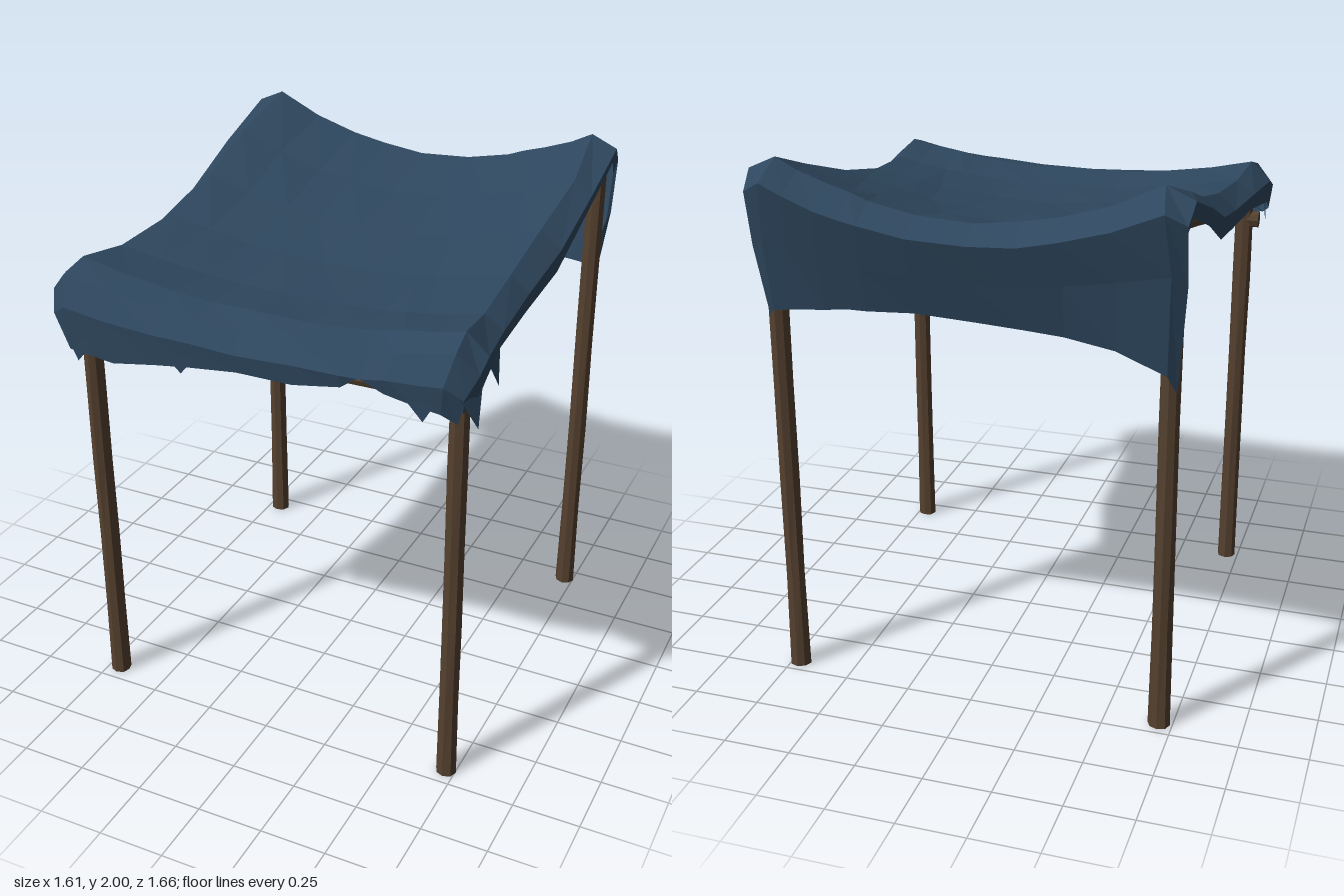
import * as THREE from 'three';

const cloth = new THREE.MeshStandardMaterial({ color: 0x2e475e, flatShading: true, side: THREE.DoubleSide });
cloth.name = 'navy cloth';
const wood = new THREE.MeshStandardMaterial({ color: 0x55412f, flatShading: true });
wood.name = 'dark wood';

// repeatable value in -1..1
const wobble = (n) => {
  const s = Math.sin(n * 12.9898) * 43758.5453;
  return (s - Math.floor(s)) * 2 - 1;
};

// rough timber between two points
function timber(name, from, to, radius, seed, foot = 1) {
  const a = new THREE.Vector3(...from), b = new THREE.Vector3(...to);
  const length = a.distanceTo(b);
  const geo = new THREE.CylinderGeometry(radius, radius, length, 8, 5);
  const p = geo.attributes.position;
  for (let i = 0; i < p.count; i++) {
    const t = p.getY(i) / length + 0.5;
    const side = Math.round(Math.atan2(p.getX(i), p.getZ(i)) / (Math.PI / 4)) & 7;
    const ring = Math.round(t * 5);
    const k = (ring === 0 ? foot : 1) + 0.07 * wobble(seed + side * 3 + ring * 17);
    p.setX(i, p.getX(i) * k);
    p.setZ(i, p.getZ(i) * k);
  }
  const mesh = new THREE.Mesh(geo, wood);
  mesh.name = name;
  mesh.position.copy(a).lerp(b, 0.5);
  mesh.quaternion.setFromUnitVectors(new THREE.Vector3(0, 1, 0), b.sub(a).normalize());
  return mesh;
}

// cloth cross-sections, back hem to front hem:
// z, y at side ridge, y at middle, ridge half width, hem half width, side hem y
const rows = [
  [-0.76, 1.42, 1.49, 0.70, 0.73, 1.42],
  [-0.80, 1.72, 1.63, 0.71, 0.76, 1.66],
  [-0.84, 1.93, 1.77, 0.69, 0.76, 1.84],
  [-0.74, 2.00, 1.83, 0.67, 0.77, 1.90],
  [-0.45, 1.91, 1.76, 0.70, 0.77, 1.80],
  [-0.15, 1.82, 1.71, 0.68, 0.76, 1.67],
  [0.15, 1.76, 1.68, 0.68, 0.75, 1.63],
  [0.45, 1.74, 1.67, 0.70, 0.77, 1.63],
  [0.66, 1.77, 1.69, 0.72, 0.80, 1.61],
  [0.77, 1.74, 1.67, 0.73, 0.80, 1.57],
  [0.82, 1.64, 1.60, 0.71, 0.77, 1.54],
  [0.81, 1.52, 1.53, 0.70, 0.75, 1.50],
];
const spread = [-1, -0.75, -0.5, -0.3, -0.05, 0.25, 0.5, 0.6, 0.72, 0.88, 1];
// ragged hem heights across the width
const backHem = [1.46, 1.30, 1.37, 1.44, 1.47, 1.48, 1.49, 1.5, 1.49, 1.49, 1.48, 1.47, 1.46, 1.43, 1.55];
const frontHem = [1.56, 1.54, 1.48, 1.46, 1.49, 1.51, 1.53, 1.53, 1.56, 1.61, 1.57, 1.55, 1.54, 1.5, 1.54];

function canopy() {
  const cols = spread.length + 4;
  const pos = [], index = [];
  rows.forEach(([z, ySide, yMid, ridge, hem, yHem], i) => {
    for (let j = 0; j < cols; j++) {
      const fromEdge = Math.min(j, cols - 1 - j);
      const sign = j < cols / 2 ? -1 : 1;
      let x, y, zz = z;
      if (fromEdge === 0) { // side hem
        x = sign * (hem - 0.01);
        y = yHem;
      } else if (fromEdge === 1) { // rolled side edge
        x = sign * hem;
        y = ySide - (ySide - yHem) * 0.45;
      } else { // sagging top
        const f = spread[j - 2];
        x = f * ridge;
        y = ySide + (yMid - ySide) * (1 - f * f);
        if (i > 0 && i < rows.length - 1 && Math.abs(f) < 1) y += 0.006 * wobble(i * 7 + j);
      }
      if (fromEdge < 2 && Math.abs(z) > 0.75) zz -= Math.sign(z) * (0.05 - 0.02 * fromEdge);
      if (i === 0) y = backHem[j];
      if (i === rows.length - 1) y = frontHem[j];
      pos.push(x, y, zz);
      if (i && j) {
        const d = i * cols + j, b = d - 1, c = d - cols, a = c - 1;
        index.push(a, b, d, a, d, c);
      }
    }
  });
  const geo = new THREE.BufferGeometry();
  geo.setAttribute('position', new THREE.Float32BufferAttribute(pos, 3));
  geo.setIndex(index);
  geo.computeVertexNormals();
  const mesh = new THREE.Mesh(geo, cloth);
  mesh.name = 'canopy';
  return mesh;
}

// torn points hanging from the hem: two upper corners and a tip
const tatters = [
  [-0.32, 1.55, 0.815, -0.19, 1.55, 0.815, -0.25, 1.48, 0.81],
  [-0.72, 1.55, 0.81, -0.60, 1.52, 0.815, -0.67, 1.44, 0.81],
  [0.58, 1.57, 0.815, 0.68, 1.57, 0.815, 0.64, 1.50, 0.81],
  [0.79, 1.63, 0.68, 0.76, 1.60, 0.80, 0.81, 1.49, 0.76],
  [0.77, 1.65, 0.48, 0.79, 1.64, 0.62, 0.80, 1.55, 0.56],
  [-0.79, 1.63, 0.64, -0.76, 1.60, 0.78, -0.78, 1.51, 0.72],
];

export function createModel() {
  const model = new THREE.Group();
  model.name = 'canopy shelter';

  // four posts and the side rails
  for (const [label, x] of [['right', -0.70], ['left', 0.715]]) {
    const seed = x * 10;
    model.add(timber(`${label}FrontPost`, [x, 0, 0.68], [x, 1.6, 0.68], 0.036, seed + 1, 1.08));
    model.add(timber(`${label}BackPost`, [x, 0, -0.69], [x, 1.93, -0.69], 0.036, seed + 2, 1.08));
    model.add(timber(`${label}Rail`, [x * 0.985, 1.58, 0.7], [x * 0.985, 1.865, -0.71], 0.03, seed + 3));
  }

  // cross rails
  model.add(timber('frontRail', [-0.76, 1.53, 0.68], [0.77, 1.545, 0.68], 0.032, 5));
  model.add(timber('backRail', [-0.72, 1.76, -0.69], [0.73, 1.76, -0.69], 0.03, 9));

  // cloth with torn hem
  model.add(canopy());
  const torn = new THREE.BufferGeometry();
  torn.setAttribute('position', new THREE.Float32BufferAttribute(tatters.flat(), 3));
  torn.computeVertexNormals();
  const tornMesh = new THREE.Mesh(torn, cloth);
  tornMesh.name = 'tornHem';
  model.add(tornMesh);

  return model;
}
